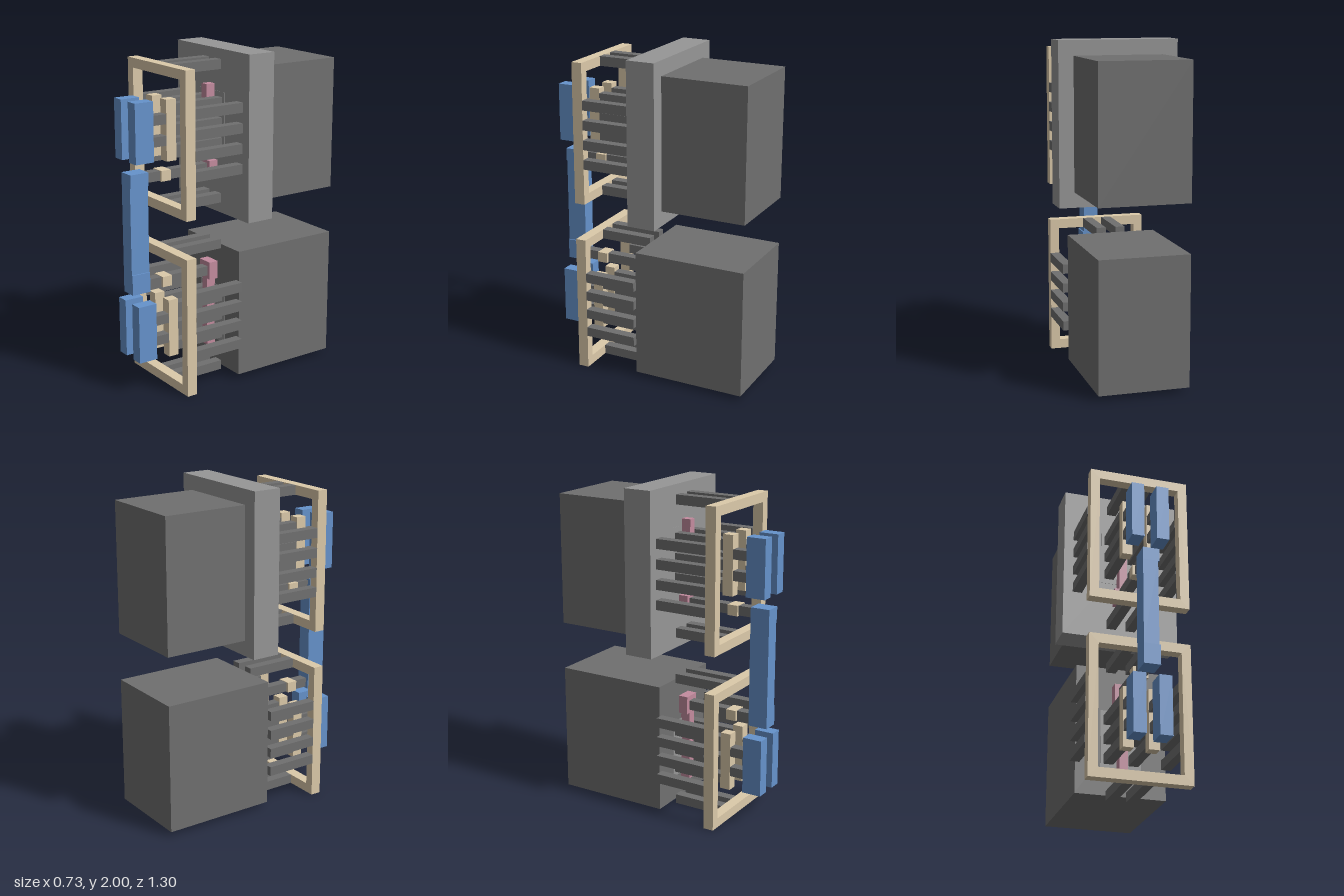
import * as THREE from 'three';

const material = (color) => new THREE.MeshStandardMaterial({ color });
const DARK = material(0x707070), GREY = material(0x969696), TAN = material(0xdccaaa);
const PINK = material(0xc48c9f), BLUE = material(0x6693cc);

// Box given by its limits on each axis
function block(parent, name, mat, [x0, x1], [y0, y1], [z0, z1]) {
  const mesh = new THREE.Mesh(new THREE.BoxGeometry(x1 - x0, y1 - y0, z1 - z0), mat);
  mesh.position.set((x0 + x1) / 2, (y0 + y1) / 2, (z0 + z1) / 2);
  mesh.name = name;
  parent.add(mesh);
}

// Square rod running along z
function rod(parent, name, x, y, z) {
  const r = 0.029;
  block(parent, name, DARK, [x - r, x + r], [y - r, y + r], z);
}

function rectPath(path, w, h) {
  path.moveTo(-w, -h);
  path.lineTo(w, -h);
  path.lineTo(w, h);
  path.lineTo(-w, h);
  path.closePath();
  return path;
}

// One cell: frame, rods, gate, strips and front bars
function createCell(name, { mid, half, top, gateY, gate, pad, viaYs }) {
  const cell = new THREE.Group();
  cell.name = name;
  const RODS = [0.048, 0.375], VIAS = [0.44, 0.53], METAL = [0.375, 0.44];

  // Rectangular ring
  const ring = rectPath(new THREE.Shape(), 0.303, half);
  ring.holes.push(rectPath(new THREE.Path(), 0.247, half - 0.058));
  const frame = new THREE.Mesh(
    new THREE.ExtrudeGeometry(ring, { depth: 0.065, bevelEnabled: false }), TAN);
  frame.position.set(0, mid, 0.375);
  frame.name = 'frame';
  cell.add(frame);

  // Rods behind the frame: four on each side, two at top and bottom
  for (const s of [-1, 1]) {
    for (const dy of [-0.18, -0.06, 0.06, 0.18]) rod(cell, 'sideRod', s * 0.275, mid + dy, RODS);
    for (const dx of [-0.06, 0.06]) rod(cell, 'endRod', dx, mid + s * (half - 0.029), RODS);
  }

  // Thin patch on the base, with a strip, rods and a front bar on either side
  block(cell, 'basePatch', GREY, [-0.123, 0.123], [top - 0.36, top], [0.045, 0.052]);
  for (const s of [-1, 1]) {
    const c = s * 0.075;
    block(cell, 'strip', TAN, [c - 0.031, c + 0.031], [top - 0.36, top - 0.002], METAL);
    block(cell, 'frontBar', BLUE, [c - 0.0375, c + 0.0375], [top - 0.35, top], [0.53, 0.65]);
    for (let i = 0; i < 3; i++) rod(cell, 'stripRod', c, top - 0.06 - i * 0.12, RODS);
    for (const y of viaYs) rod(cell, 'barRod', c, y, VIAS);
  }

  // Central gate with a wider pad, its patch and rods
  block(cell, 'gate', PINK, [-0.025, 0.025], gate, [0.048, 0.108]);
  block(cell, 'gatePad', PINK, [-0.053, 0.053], pad, [0.048, 0.108]);
  block(cell, 'gatePatch', TAN, [-0.045, 0.045], [gateY - 0.032, gateY + 0.032], METAL);
  rod(cell, 'gateRod', 0, gateY, [0.108, 0.375]);
  rod(cell, 'linkRod', 0, gateY, VIAS);
  return cell;
}

export function createModel() {
  const model = new THREE.Group();
  model.name = 'stackedCells';

  // Solid bases and the upper plate
  block(model, 'upperBase', DARK, [-0.272, 0.272], [1.11, 1.91], [-0.65, -0.125]);
  block(model, 'upperPlate', GREY, [-0.363, 0.363], [1.017, 2], [-0.125, 0.05]);
  block(model, 'lowerBase', DARK, [-0.272, 0.272], [0.03, 0.818], [-0.65, 0.048]);

  model.add(createCell('upperCell', {
    mid: 1.51, half: 0.43, top: 1.75, gateY: 1.29,
    gate: [1.335, 1.79], pad: [1.235, 1.335], viaYs: [1.637, 1.512],
  }));
  model.add(createCell('lowerCell', {
    mid: 0.425, half: 0.425, top: 0.547, gateY: 0.642,
    gate: [0.155, 0.59], pad: [0.59, 0.7], viaYs: [0.433, 0.307],
  }));

  // Long front bar joining both gates, wider at the ends
  const z = [0.53, 0.65];
  block(model, 'linkBar', BLUE, [-0.049, 0.041], [0.725, 1.25], z);
  block(model, 'linkTop', BLUE, [-0.049, 0.049], [1.25, 1.328], z);
  block(model, 'linkBottom', BLUE, [-0.049, 0.049], [0.603, 0.725], z);
  return model;
}
